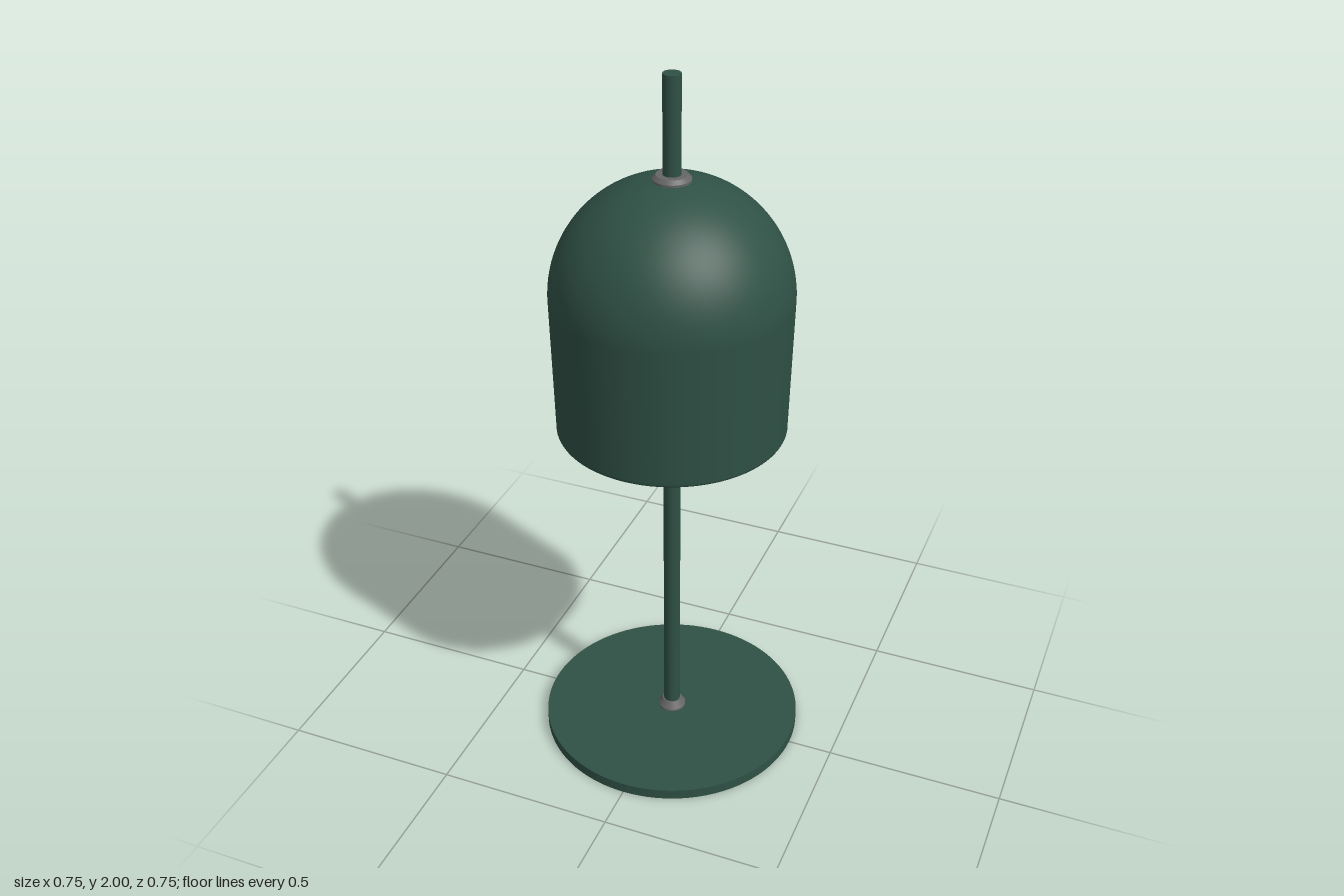
import * as THREE from 'three';

const SEGMENTS = 96;

export function createModel() {
  const lamp = new THREE.Group();
  lamp.name = 'tableLamp';
  const green = new THREE.MeshStandardMaterial({ color: 0x2f5145 });
  const grey = new THREE.MeshStandardMaterial({ color: 0x666666 });

  const add = (name, geometry, material, y = 0) => {
    const mesh = new THREE.Mesh(geometry, material);
    mesh.name = name;
    mesh.position.y = y;
    lamp.add(mesh);
  };
  // Upright cylinder or cone standing on height y0
  const turned = (name, rTop, rBottom, y0, y1, material, sides = SEGMENTS) =>
    add(name, new THREE.CylinderGeometry(rTop, rBottom, y1 - y0, sides), material, (y0 + y1) / 2);

  // Points on a dome, from its side (start) up to the pole hole
  const dome = (radius, height, y0, hole) => {
    const points = [];
    const end = Math.acos(hole / radius);
    for (let i = 0; i <= 28; i++) {
      const a = (end * i) / 28;
      points.push(new THREE.Vector2(radius * Math.cos(a), y0 + height * Math.sin(a)));
    }
    return points;
  };

  // Base and pole
  turned('base', 0.373, 0.373, 0, 0.03, green);
  turned('pole', 0.0235, 0.0235, 0.03, 2, green, 48);

  // Collar where the pole meets the base
  turned('baseCollarRim', 0.04, 0.04, 0.03, 0.035, grey, 48);
  turned('baseCollar', 0.027, 0.04, 0.035, 0.055, grey, 48);

  // Thin-walled shade: down the inside, round the rim, up the outside
  const profile = [
    ...dome(0.312, 0.312, 1.41, 0.024).reverse(),
    new THREE.Vector2(0.303, 1.03),
    new THREE.Vector2(0.303, 1.024),
    new THREE.Vector2(0.305, 1.02),
    new THREE.Vector2(0.309, 1.02),
    new THREE.Vector2(0.311, 1.024),
    new THREE.Vector2(0.311, 1.03),
    ...dome(0.32, 0.32, 1.41, 0.024),
  ];
  add('shade', new THREE.LatheGeometry(profile, SEGMENTS), green);

  // Collar that holds the shade on the pole
  turned('shadeCollarRim', 0.05, 0.05, 1.715, 1.732, grey, 48);
  turned('shadeCollar', 0.041, 0.05, 1.732, 1.742, grey, 48);

  return lamp;
}
